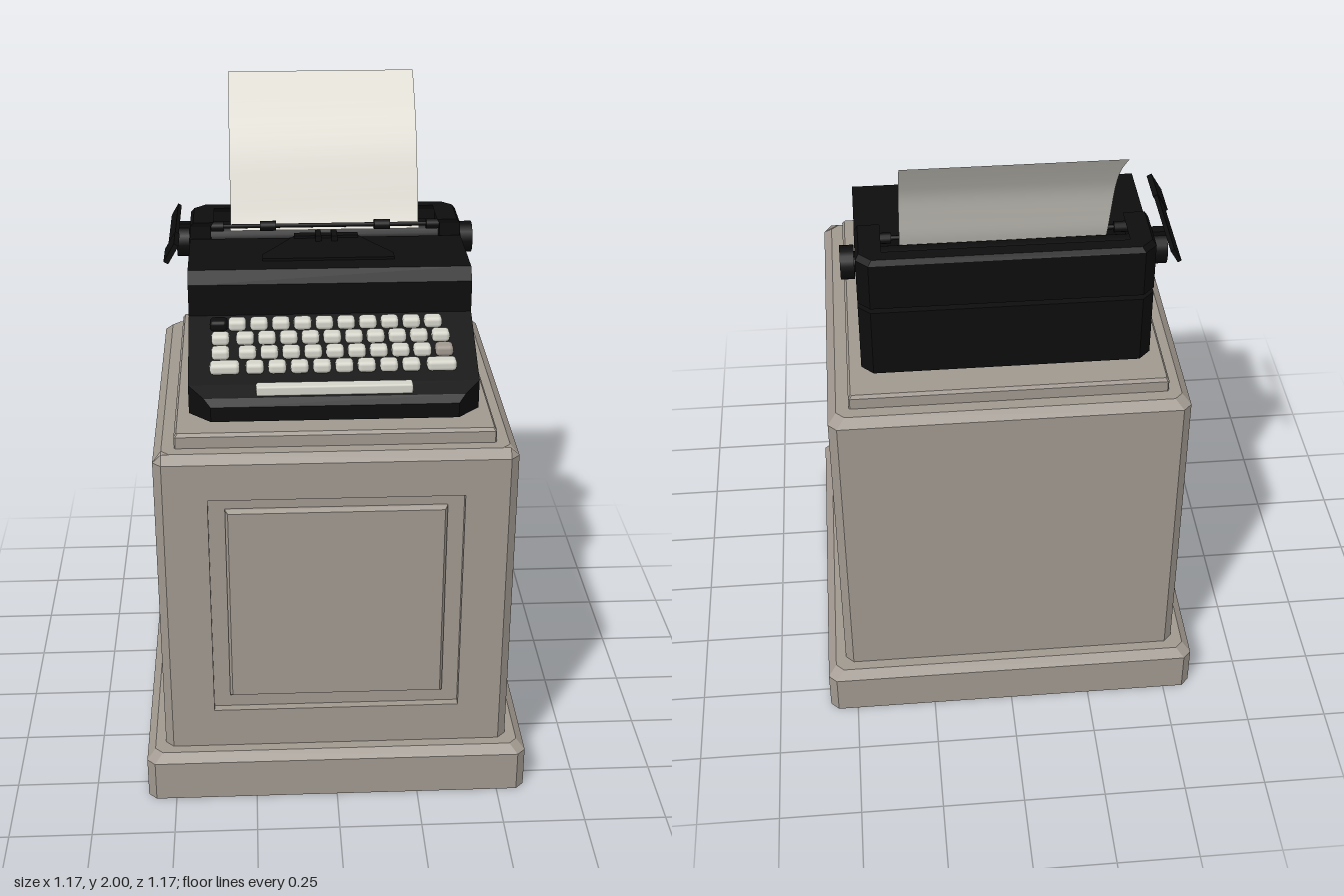
import * as THREE from 'three';
import { RoundedBoxGeometry } from 'three/addons/geometries/RoundedBoxGeometry.js';

const mat = (name, color, extra = {}) => new THREE.MeshStandardMaterial({ name, color, ...extra });

const shapeOf = (pts) => new THREE.Shape(pts.map(([x, y]) => new THREE.Vector2(x, y)));

// Upright prism from a plan outline [x, -z]; its top edge is chamfered by c, narrowing by factor k
function prism(pts, h, c = 0, k = 1) {
  const g = new THREE.ExtrudeGeometry(shapeOf(pts), { depth: h, steps: 2, bevelEnabled: false });
  const p = g.attributes.position;
  for (let i = 0; i < p.count; i++) {
    const t = p.getZ(i) / h;
    if (t > 0.9) p.setXY(i, p.getX(i) * k, p.getY(i) * k);
    else if (t > 0.1 && c) p.setZ(i, h - c);
  }
  g.rotateX(-Math.PI / 2);
  g.computeVertexNormals();
  return g;
}

// Rectangle outline with cut corners
const cutRect = (a, b, c) => [[a, -b + c], [a, b - c], [a - c, b], [-a + c, b],
  [-a, b - c], [-a, -b + c], [-a + c, -b], [a - c, -b]];

// Side profile [z, y] swept across the width
function sweepX(pts, width) {
  const g = new THREE.ExtrudeGeometry(shapeOf(pts), { depth: width, bevelEnabled: false });
  return g.translate(0, 0, -width / 2).rotateY(-Math.PI / 2);
}

// U-shaped outline open towards the front
const uPlan = (front) => [[0.425, front], [0.425, 0.355], [0.39, 0.39], [-0.39, 0.39], [-0.425, 0.355],
  [-0.425, front], [-0.36, front], [-0.36, 0.35], [0.36, 0.35], [0.36, front]];

export function createModel() {
  const root = new THREE.Group();
  const stone = mat('warm grey stone', 0xa0988f);
  const black = mat('black enamel', 0x0d0d0d);
  const blackSheet = mat('black sheet metal', 0x0d0d0d, { side: THREE.DoubleSide });
  const ivory = mat('ivory keys', 0xd4d4ca);
  const paperMat = mat('paper', 0xdfdcd3, { side: THREE.DoubleSide });

  const pedestal = new THREE.Group();
  pedestal.name = 'pedestal';
  const typewriter = new THREE.Group();
  typewriter.name = 'typewriter';
  root.add(pedestal, typewriter);

  const add = (parent, name, geo, material, x = 0, y = 0, z = 0) => {
    const m = new THREE.Mesh(geo, material);
    m.name = name;
    m.position.set(x, y, z);
    parent.add(m);
    return m;
  };
  const box = (name, w, h, d, x, y, z, material = black) =>
    add(typewriter, name, new THREE.BoxGeometry(w, h, d), material, x, y, z);
  const rod = (name, r, len, x, y, z, sides = 20) =>
    add(typewriter, name, new THREE.CylinderGeometry(r, r, len, sides).rotateZ(Math.PI / 2), black, x, y, z);

  // Pedestal: plinth, core and top slab
  add(pedestal, 'plinth', prism(cutRect(0.587, 0.587, 0.025), 0.155, 0.025, 0.957), stone);
  const core = prism(cutRect(0.53, 0.53, 0.025), 1, 0.025, 0.953);
  const cp = core.attributes.position;
  for (let i = 0; i < cp.count; i++) cp.setZ(i, Math.min(cp.getZ(i), 0.505));
  core.computeVertexNormals();
  add(pedestal, 'core', core, stone, 0, 0.155, 0);
  add(pedestal, 'topSlab', prism(cutRect(0.468, 0.468, 0.004), 0.047, 0.01, 0.985), stone, 0, 1.153, 0);

  // Front face frame with a sunken opening, outer edge chamfered
  const frameShape = shapeOf([[-0.53, 0.155], [0.53, 0.155], [0.53, 1.13], [0.505, 1.155], [-0.505, 1.155], [-0.53, 1.13]]);
  frameShape.holes.push(new THREE.Path([[-0.375, 0.285], [-0.375, 1.015], [0.375, 1.015], [0.375, 0.285]]
    .map(([x, y]) => new THREE.Vector2(x, y))));
  const frame = new THREE.ExtrudeGeometry(frameShape, { depth: 0.025, bevelEnabled: false });
  const fp = frame.attributes.position;
  for (let i = 0; i < fp.count; i++) {
    if (fp.getZ(i) < 0.01) continue;
    fp.setX(i, THREE.MathUtils.clamp(fp.getX(i), -0.505, 0.505));
    fp.setY(i, Math.min(fp.getY(i), 1.13));
  }
  frame.computeVertexNormals();
  add(pedestal, 'frontFrame', frame, stone, 0, 0, 0.505);
  add(pedestal, 'frontPanel', prism(cutRect(0.326, 0.323, 0.001), 0.02, 0.012, 0.975).rotateX(Math.PI / 2),
    stone, 0, 0.652, 0.505);

  // Typewriter housing: stepped body, nose with cut corners, rear walls
  add(typewriter, 'body', sweepX([[-0.19, 1.22], [0.365, 1.22], [0.365, 1.308], [0.125, 1.428],
    [0.125, 1.525], [0.09, 1.56], [-0.19, 1.56]], 0.85), black);
  const nose = sweepX([[0.365, 1.22], [0.43, 1.22], [0.43, 1.265], [0.41, 1.285], [0.365, 1.308]], 0.85);
  const np = nose.attributes.position;
  for (let i = 0; i < np.count; i++) {
    np.setX(i, Math.sign(np.getX(i)) * (0.425 - Math.max(0, np.getZ(i) - 0.365)));
  }
  nose.computeVertexNormals();
  add(typewriter, 'nose', nose, black);
  add(typewriter, 'rearWalls', prism(uPlan(0.19), 0.215), black, 0, 1.22, 0);

  // Cover plate and type guide on the hood
  add(typewriter, 'typeCover', prism([[-0.15, 0.1], [-0.2, 0.02], [-0.2, -0.02], [0.2, -0.02], [0.2, 0.02],
    [0.15, 0.1], [0.1, 0.185], [-0.1, 0.185]], 0.008), black, 0, 1.56, 0);
  box('typeGuide', 0.2, 0.012, 0.03, 0, 1.57, -0.175);
  for (const s of [-1, 1]) box('guideFork', 0.018, 0.02, 0.06, s * 0.025, 1.575, -0.16);

  // Carriage: frame, rail, platen, knobs, paper bail
  add(typewriter, 'carriageFrame', prism(uPlan(0.205), 0.16, 0.015, 0.975), black, 0, 1.45, 0);
  box('carriageRail', 0.74, 0.09, 0.05, 0, 1.44, -0.285);
  rod('platen', 0.052, 0.73, 0, 1.53, -0.285, 28);
  rod('bailRod', 0.007, 0.73, 0, 1.585, -0.235, 8);
  for (const s of [-1, 1]) {
    rod('bailRoller', 0.016, 0.05, s * 0.18, 1.585, -0.235, 12);
    rod('bailEnd', 0.016, 0.04, s * 0.34, 1.585, -0.235, 12);
    rod('knob', 0.049, 0.04, s * 0.448, 1.53, -0.265);
    rod('knobCollar', 0.03, 0.03, s * 0.425, 1.53, -0.265);
  }

  // Carriage return lever: a slanted strip with a broad handle
  const lever = new THREE.Group();
  lever.name = 'returnLever';
  lever.position.set(-0.477, 1.58, 0);
  lever.rotation.z = -0.53;
  add(lever, 'leverArm', new THREE.BoxGeometry(0.012, 0.045, 0.3), blackSheet, 0, 0.008, -0.25);
  add(lever, 'leverHandle', new THREE.BoxGeometry(0.016, 0.066, 0.115), blackSheet, 0, 0, -0.058);
  typewriter.add(lever);
  box('leverPivot', 0.06, 0.03, 0.03, -0.448, 1.575, -0.265);

  // Keys in four rows following the slope
  const slopeY = (z) => 1.428 - (z - 0.125) * 0.5;
  const key = (x, z, w, material = ivory) =>
    add(typewriter, 'key', new RoundedBoxGeometry(w, 0.034, 0.047, 2, 0.012), material, x, slopeY(z) + 0.011, z);
  const w = 0.053;
  key(-0.335, 0.168, w, black);
  for (let i = 0; i < 10; i++) key(-0.28 + i * 0.065, 0.168, w);
  for (const z of [0.218, 0.268]) {
    key(-0.33, z, w);
    for (let i = 0; i < 10; i++) {
      const greyKey = z > 0.25 && i === 9;
      key(-0.257 + i * 0.0645 + (z > 0.25 ? 0.006 : 0), z, w, greyKey ? stone : ivory);
    }
  }
  for (let i = 0; i < 8; i++) key(-0.23 + i * 0.0655, 0.318, w);
  for (const s of [-1, 1]) key(s * 0.318, 0.318, 0.087);
  add(typewriter, 'spaceBar', new RoundedBoxGeometry(0.455, 0.03, 0.038, 2, 0.006), ivory, 0, 1.302, 0.388);

  // Curved sheet of paper rising from the platen
  const curve = new THREE.CatmullRomCurve3([[1.56, -0.245], [1.61, -0.272], [1.69, -0.308], [1.79, -0.355],
    [1.87, -0.41], [1.935, -0.475], [2.0, -0.55]].map(([y, z]) => new THREE.Vector3(0, y, z)));
  const paper = new THREE.PlaneGeometry(0.596, 1, 1, 20);
  const pp = paper.attributes.position;
  for (let i = 0; i < pp.count; i++) {
    const c = curve.getPoint(pp.getY(i) + 0.5);
    pp.setXYZ(i, pp.getX(i), c.y, c.z);
  }
  paper.computeVertexNormals();
  add(typewriter, 'paper', paper, paperMat);

  return root;
}
